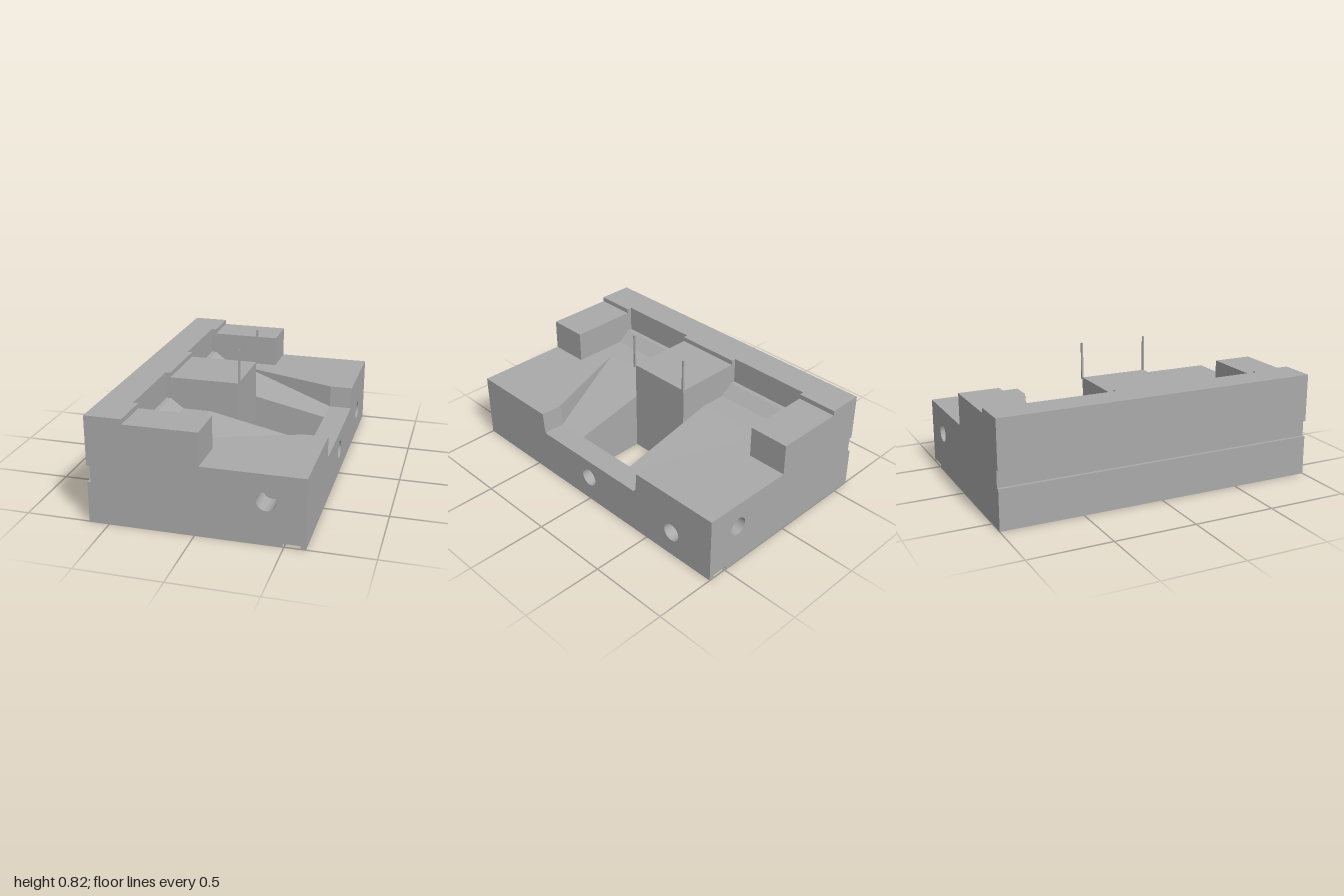
import * as THREE from 'three';

const gray = new THREE.MeshStandardMaterial({ color: 0xaaaaaa, side: THREE.DoubleSide });
gray.name = 'plain gray';

export function createModel() {
  const group = new THREE.Group();
  const add = (name, geometry) => {
    const mesh = new THREE.Mesh(geometry, gray);
    mesh.name = name;
    group.add(mesh);
    return mesh;
  };
  const shapeOf = (pts) => new THREE.Shape(pts.map(([x, y]) => new THREE.Vector2(x, y)));

  // solid with an x-y profile running from z0 to z1
  const prism = (name, pts, z0, z1) => {
    const g = new THREE.ExtrudeGeometry(shapeOf(pts), { depth: z1 - z0, bevelEnabled: false });
    add(name, g.translate(0, 0, z0));
  };

  // flat outline (u, v) placed in space by a rule, facing along the given direction
  const sheet = (name, pts, place, facing, bores = []) => {
    const shape = shapeOf(pts);
    for (const [u, v, r] of bores) shape.holes.push(new THREE.Path().absarc(u, v, r, 0, Math.PI * 2, true));
    const g = new THREE.ShapeGeometry(shape, 16);
    const p = g.attributes.position;
    for (let i = 0; i < p.count; i++) p.setXYZ(i, ...place(p.getX(i), p.getY(i)));
    g.computeVertexNormals();
    const n = new THREE.Vector3().fromBufferAttribute(g.attributes.normal, 0);
    if (n.dot(new THREE.Vector3(...facing)) < 0) {
      const ix = g.index.array;
      for (let i = 0; i < ix.length; i += 3) [ix[i], ix[i + 1]] = [ix[i + 1], ix[i]];
      g.computeVertexNormals();
    }
    add(name, g);
  };
  const rect = (a, b, c, d) => [[a, c], [b, c], [b, d], [a, d]];
  const atX = (x) => (z, y) => [x, y, z];
  const atY = (y) => (x, z) => [x, y, z];
  const atZ = (z) => (x, y) => [x, y, z];

  // blind round bore running inward from a side face
  const R = 0.056, DEPTH = 0.15;
  const bore = (x, y, z, dir) => {
    const d = new THREE.Vector3(...dir);
    const turn = new THREE.Quaternion().setFromUnitVectors(new THREE.Vector3(0, 1, 0), d);
    const wall = add('boreWall', new THREE.CylinderGeometry(R, R, DEPTH, 32, 1, true));
    wall.position.set(x, y, z).addScaledVector(d, DEPTH / 2);
    wall.quaternion.copy(turn);
    const end = add('boreEnd', new THREE.CircleGeometry(R, 32).rotateX(Math.PI / 2));
    end.position.set(x, y, z).addScaledVector(d, DEPTH);
    end.quaternion.copy(turn);
  };

  const DECK = 0.415, LOW = 0.28;
  const rampY = (x) => DECK - (DECK - LOW) * Math.min(1, Math.max(0, (x + 0.15) / 0.63));

  // tall rear wall with its long groove
  prism('rearWall', [[-0.62, 0], [-0.43, 0], [-0.43, 0.64], [-0.62, 0.64], [-0.62, 0.345],
    [-0.6, 0.345], [-0.6, 0.245], [-0.62, 0.245]], -1, 1);

  // raised blocks in the middle and at both ends
  const block = [[-0.43, 0], [0.03, 0], [0.03, 0.61], [-0.4, 0.61], [-0.4, 0.64], [-0.43, 0.64]];
  prism('middleBlock', block, -0.21, 0.21);
  prism('leftEndBlock', block, 0.75, 1);
  prism('rightEndBlock', block, -1, -0.75);

  // end face, with the underside groove cut into its lower edge
  const endFace = [[0.03, 0], [0.49, 0], [0.49, 0.02], [0.59, 0.02], [0.59, 0], [0.62, 0],
    [0.62, DECK], [0.03, DECK]];
  // pocket floor: shelf, sloped step, level part, start of the ramp
  const pocket = [[-0.43, 0], [0.03, 0], [0.03, rampY(0.03)], [-0.15, DECK], [-0.32, DECK],
    [-0.4, 0.475], [-0.43, 0.475]];

  for (const s of [1, -1]) {
    prism('pocketFloor', pocket, s > 0 ? 0.21 : -0.75, s > 0 ? 0.75 : -0.21);
    sheet('endFace', endFace, atZ(s), [0, 0, s], [[0.4, 0.257, R]]);
    bore(0.4, 0.257, s, [0, 0, -s]);

    // low deck beside the funnel
    sheet('deckTop', [[-0.15, 0.65], [0.48, 0.42], [0.62, 0.42], [0.62, 1], [0.03, 1], [0.03, 0.75], [-0.15, 0.75]]
      .map(([x, z]) => [x, z * s]), atY(DECK), [0, 1, 0]);

    // funnel walls, leaning slightly outward
    const lean = (x, y) => (DECK - y) * 0.08;
    sheet('funnelWall', [[-0.15, DECK], [0.48, LOW], [0.48, DECK]],
      (x, y) => [x, y, s * (0.65 - (x + 0.15) * 0.23 / 0.63 - lean(x, y))], [0, 0, -s]);
    sheet('channelWall', rect(0.48, 0.62, LOW, DECK),
      (x, y) => [x, y, s * (0.42 - lean(x, y))], [0, 0, -s]);

    // sloping floor and side of the square opening
    sheet('rampFloor', [[0.03, 0.21], [0.03, 0.584], [0.48, 0.42], [0.48, 0.21]],
      (x, z) => [x, rampY(x), z * s], [0, 1, 0]);
    sheet('openingSide', [[0.03, 0], [0.48, 0], [0.48, LOW], [0.03, rampY(0.03)]],
      atZ(0.21 * s), [0, 0, -s]);

    // thin upright pin on the block corner
    add('pin', new THREE.BoxGeometry(0.012, 0.225, 0.011)).position.set(0.036, 0.7125, 0.21 * s);
  }

  // channel floor and the remaining wall of the opening
  sheet('channelFloor', rect(0.48, 0.62, -0.42, 0.42), atY(LOW), [0, 1, 0]);
  sheet('openingFront', rect(-0.21, 0.21, 0, LOW), atX(0.48), [-1, 0, 0]);

  // right face with the channel mouth and two bores
  sheet('rightFace', [[-1, 0], [1, 0], [1, DECK], [0.42, DECK], [0.41, LOW + 0.02], [0.395, LOW],
    [-0.395, LOW], [-0.41, LOW + 0.02], [-0.42, DECK], [-1, DECK]],
  atX(0.62), [1, 0, 0], [[0, 0.16, R], [-0.7, 0.16, R]]);
  for (const z of [0, -0.7]) bore(0.62, 0.16, z, [-1, 0, 0]);

  // underside around the opening, and its groove
  sheet('underside', [[0.03, -1], [0.49, -1], [0.49, 1], [0.03, 1], [0.03, 0.21], [0.48, 0.21],
    [0.48, -0.21], [0.03, -0.21]], atY(0), [0, -1, 0]);
  sheet('undersideLip', rect(0.59, 0.62, -1, 1), atY(0), [0, -1, 0]);
  sheet('grooveTop', rect(0.49, 0.59, -1, 1), atY(0.02), [0, -1, 0]);
  sheet('grooveSide', rect(-1, 1, 0, 0.02), atX(0.49), [1, 0, 0]);
  sheet('grooveSide', rect(-1, 1, 0, 0.02), atX(0.59), [-1, 0, 0]);

  return group;
}
